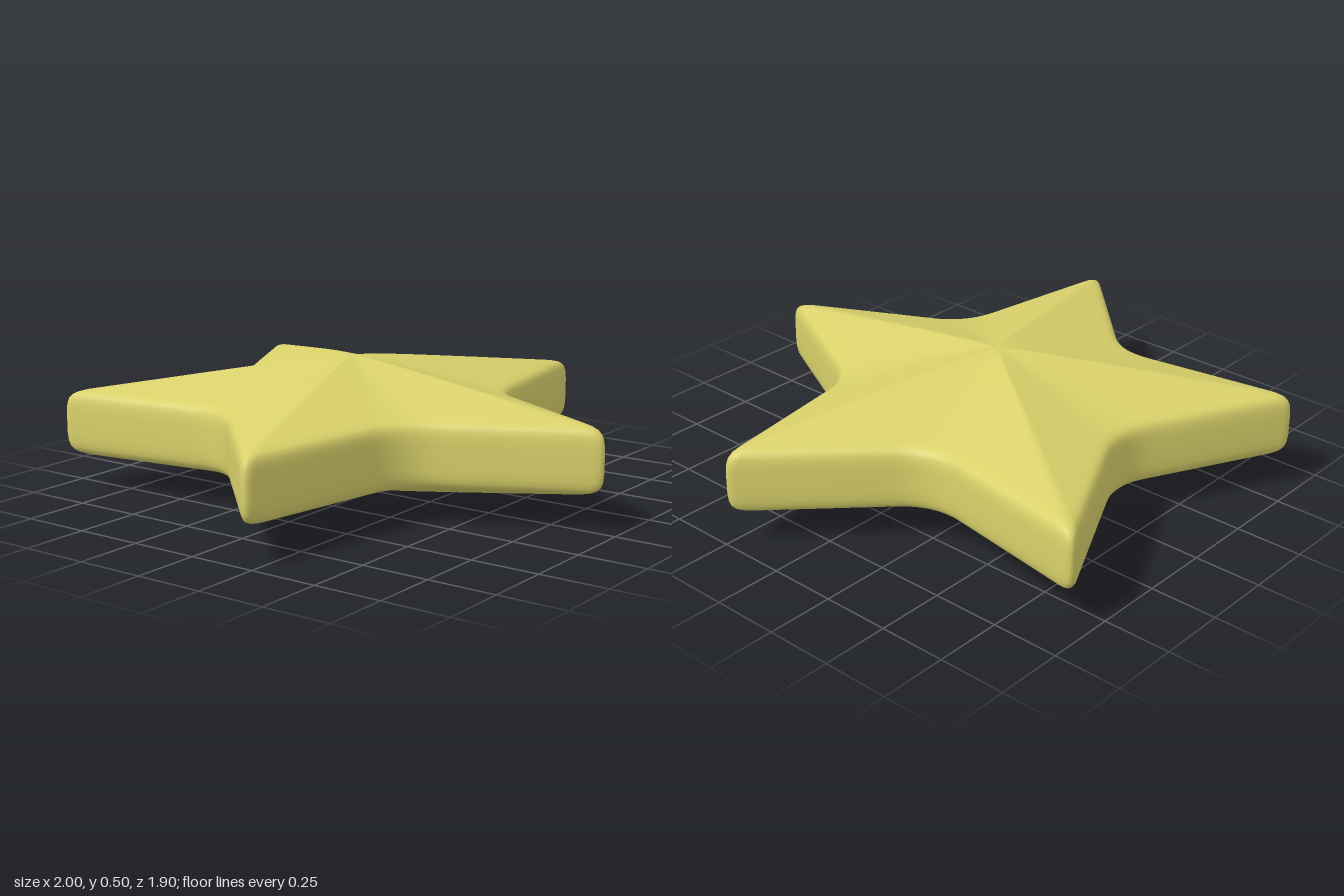
import * as THREE from 'three';

const TIP = 1.077, VALLEY = 0.55;         // sharp corner radii before rounding
const TIP_CUT = 0.06, VALLEY_CUT = 0.14;  // length of edge used to round each corner
const CENTRE_Z = -0.1, MID_Y = 0.25;

// Five-pointed outline with rounded corners, running from +z towards +x
function starOutline() {
  const corners = [];
  for (let i = 0; i < 10; i++) {
    const a = (i * Math.PI) / 5, r = i % 2 ? VALLEY : TIP;
    corners.push(new THREE.Vector2(Math.sin(a) * r, Math.cos(a) * r));
  }
  const toward = (p, q, d) => p.clone().add(q.clone().sub(p).setLength(d));
  const points = [];
  corners.forEach((p, i) => {
    const prev = corners[(i + 9) % 10], next = corners[(i + 1) % 10];
    const cut = i % 2 ? VALLEY_CUT : TIP_CUT, nextCut = i % 2 ? TIP_CUT : VALLEY_CUT;
    const end = toward(p, next, cut);
    points.push(...new THREE.QuadraticBezierCurve(toward(p, prev, cut), p, end).getPoints(10));
    // straight flank to the next corner
    const stop = toward(next, p, nextCut);
    for (let k = 1; k < 8; k++) points.push(end.clone().lerp(stop, k / 8));
  });
  return points;
}

// Half thickness of the sloping face at outline scale s, softened at the centre
const faceHeight = (s) => 0.265 - 0.155 * Math.hypot(s, 0.1);

function starGeometry() {
  const outline = starOutline(), n = outline.length;

  // Section [scale, height] from near the top centre down to the middle of the rim
  const upper = [];
  for (const s of [0.03, 0.07, 0.12, 0.18, 0.26, 0.36, 0.48, 0.6, 0.72, 0.82, 0.89, 0.93]) {
    upper.push([s, faceHeight(s)]);
  }
  upper.push([0.958, 0.113], [0.977, 0.104], [0.99, 0.09], [0.997, 0.07], [1, 0.04]);
  const section = [...upper, [1, 0], ...upper.map(([s, h]) => [s, -h]).reverse()];

  const positions = [0, MID_Y + faceHeight(0), CENTRE_Z];
  for (const [s, h] of section) {
    for (const p of outline) positions.push(p.x * s, MID_Y + h, CENTRE_Z + p.y * s);
  }
  const bottom = positions.length / 3;
  positions.push(0, MID_Y - faceHeight(0), CENTRE_Z);

  const index = [], last = section.length - 1;
  const at = (ring, i) => 1 + ring * n + (i % n);
  for (let i = 0; i < n; i++) {
    index.push(0, at(0, i), at(0, i + 1));
    for (let r = 0; r < last; r++) {
      const a = at(r, i), b = at(r + 1, i), c = at(r + 1, i + 1), d = at(r, i + 1);
      index.push(a, b, c, a, c, d);
    }
    index.push(at(last, i), bottom, at(last, i + 1));
  }

  const geometry = new THREE.BufferGeometry();
  geometry.setAttribute('position', new THREE.Float32BufferAttribute(positions, 3));
  geometry.setIndex(index);
  geometry.computeVertexNormals();
  return geometry;
}

export function createModel() {
  const group = new THREE.Group();
  group.name = 'star';
  const body = new THREE.Mesh(starGeometry(), new THREE.MeshStandardMaterial({ color: 0xd9d16a }));
  body.name = 'starBody';
  group.add(body);
  return group;
}
